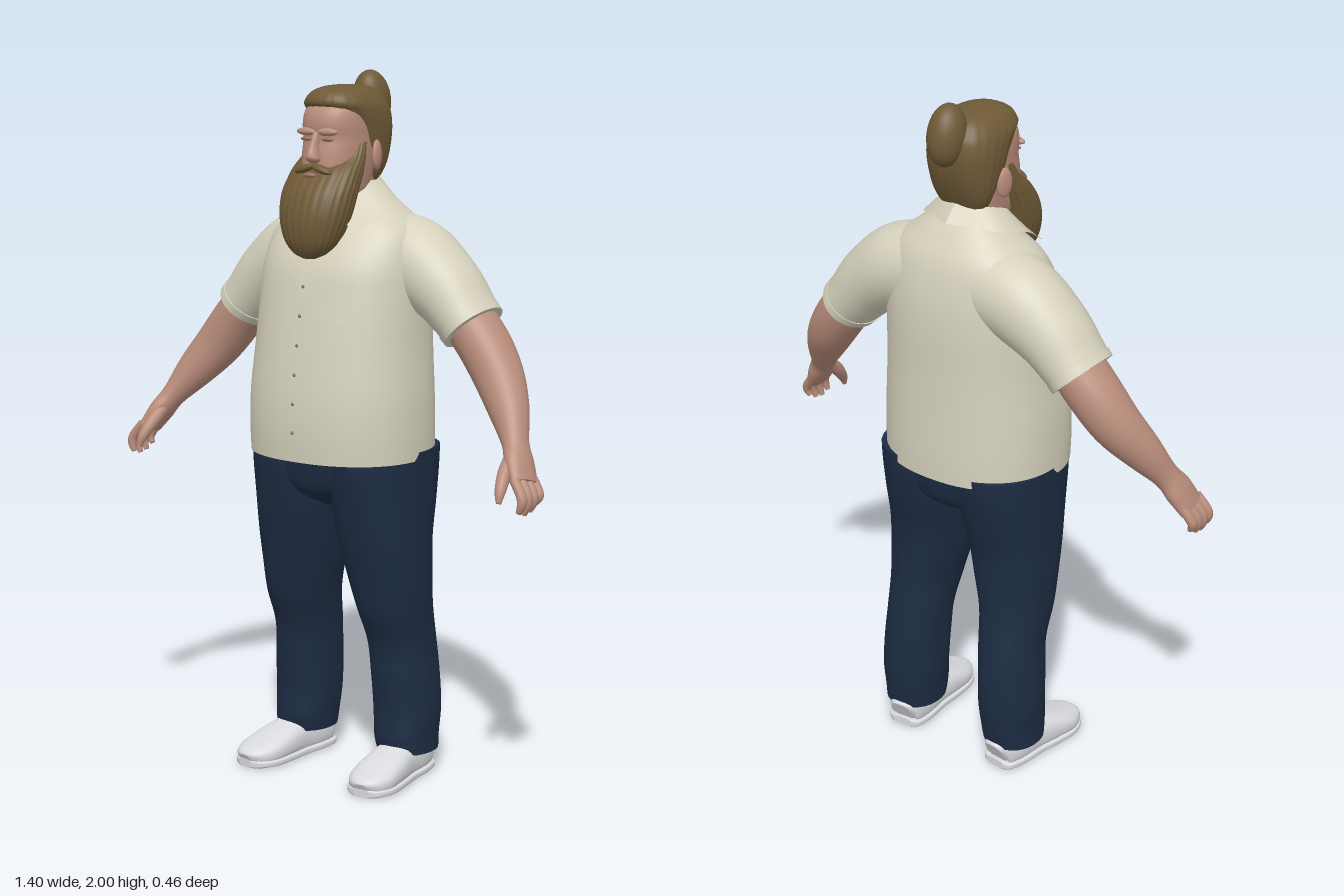
import * as THREE from 'three';

const material = (name, color, side = THREE.FrontSide) => {
  const m = new THREE.MeshStandardMaterial({ color, side });
  m.name = name;
  return m;
};

// Catmull-Rom interpolation through rows of numbers
function smooth(rows, steps = 5) {
  const out = [], last = rows.length - 1;
  for (let i = 0; i < last; i++) {
    const a = rows[Math.max(i - 1, 0)], b = rows[i], c = rows[i + 1], d = rows[Math.min(i + 2, last)];
    for (let k = 0; k < steps; k++) {
      const t = k / steps;
      out.push(b.map((v, j) => v + 0.5 * t * (c[j] - a[j] + t * (2 * a[j] - 5 * v + 4 * c[j] - d[j]
        + t * (3 * (v - c[j]) + d[j] - a[j])))));
    }
  }
  out.push(rows[last]);
  return out;
}

function build(pos, index) {
  const g = new THREE.BufferGeometry();
  g.setAttribute('position', new THREE.Float32BufferAttribute(pos, 3));
  g.setIndex(index);
  g.computeVertexNormals();
  return g;
}

// Closed skin over sections [x, y, z, radiusU, radiusV].
// With ref the rings follow the path; without it they stay horizontal (listed upward).
function loft(sections, { p = 2, n = 32, ref = null, ridge = 0, ridges = 16, floor = -1 } = {}) {
  const rows = smooth(sections), pos = [], index = [];
  const at = i => new THREE.Vector3(...rows[Math.min(Math.max(i, 0), rows.length - 1)]);
  const ring = (i, scale) => {
    const U = new THREE.Vector3(1, 0, 0), V = new THREE.Vector3(0, 0, 1);
    if (ref) {
      const T = at(i + 1).sub(at(i - 1)).normalize();
      V.copy(ref).addScaledVector(T, -ref.dot(T)).normalize();
      U.crossVectors(T, V);
    }
    for (let j = 0; j < n; j++) {
      const a = j / n * Math.PI * 2, c = Math.cos(a), s = Math.sin(a);
      const k = scale * (1 + ridge * Math.cos(a * ridges)) / (Math.abs(c) ** p + Math.abs(s) ** p) ** (1 / p);
      const q = at(i).addScaledVector(U, c * k * rows[i][3]).addScaledVector(V, s * k * rows[i][4]);
      pos.push(q.x, Math.max(q.y, floor), q.z);
    }
  };
  const end = rows.length - 1;
  ring(0, 0); ring(0, 1);
  rows.forEach((r, i) => ring(i, 1));
  ring(end, 1); ring(end, 0);
  for (let i = 0; i < rows.length + 3; i++) {
    if (i === 1 || i === rows.length + 1) continue; // crisp cap edges
    for (let j = 0; j < n; j++) {
      const a = i * n + j, b = i * n + (j + 1) % n;
      index.push(a, a + n, b, b, a + n, b + n);
    }
  }
  return build(pos, index);
}

// Thin sheet between two point rows
function strip(top, bottom) {
  const a = smooth(top), b = smooth(bottom), pos = [], index = [];
  a.forEach((q, i) => {
    pos.push(...q, ...b[i]);
    if (i) index.push(2 * i - 2, 2 * i - 1, 2 * i, 2 * i, 2 * i - 1, 2 * i + 1);
  });
  return build(pos, index);
}

// Horizontal section from half width, front z and back z
const sec = (y, rx, front, back, x = 0) => [x, y, (front + back) / 2, rx, (front - back) / 2];

export function createModel() {
  const model = new THREE.Group();
  model.name = 'beardedMan';
  const skin = material('skin', 0xb98d7b), lip = material('lips', 0xa06f63), lid = material('eyelids', 0x96705f);
  const hair = material('hair', 0x6f5a37), shirt = material('shirt', 0xd5d1bc, THREE.DoubleSide);
  const denim = material('denim', 0x1d2c43), white = material('shoe white', 0xd9dade);
  const grey = material('lace grey', 0x77787c);
  const Z = new THREE.Vector3(0, 0, 1), Y = new THREE.Vector3(0, 1, 0);
  const add = (name, geo, mat) => {
    const m = new THREE.Mesh(geo, mat);
    m.name = name;
    model.add(m);
    return m;
  };
  const ball = (name, mat, x, y, z, rx, ry, rz) => {
    const m = add(name, new THREE.SphereGeometry(1, 24, 16), mat);
    m.position.set(x, y, z);
    m.scale.set(rx, ry, rz);
    return m;
  };

  // Shirt body
  const torso = [
    sec(0.937, 0.264, 0.222, -0.225), sec(1.02, 0.265, 0.226, -0.225), sec(1.12, 0.263, 0.222, -0.222),
    sec(1.25, 0.254, 0.205, -0.22), sec(1.38, 0.25, 0.183, -0.22), sec(1.48, 0.245, 0.158, -0.212),
    sec(1.57, 0.225, 0.105, -0.19), sec(1.63, 0.155, 0.06, -0.155), sec(1.67, 0.105, 0.03, -0.125),
    sec(1.7, 0.075, 0.01, -0.1)];
  const torsoP = 2.3;
  add('shirtBody', loft(torso, { p: torsoP, n: 56 }), shirt);

  // Placket, buttons and pocket draped on the shirt front
  const torsoRows = smooth(torso, 20);
  const onChest = (x, y, lift) => {
    const r = torsoRows.find(q => q[1] >= y);
    return [x, y, r[2] + r[4] * (1 - Math.abs(x / r[3]) ** torsoP) ** (1 / torsoP) + lift];
  };
  const heights = [0.94, 1.02, 1.1, 1.18, 1.26, 1.34, 1.42, 1.5, 1.57];
  add('placket', strip(heights.map(y => onChest(-0.016, y, 0.004)), heights.map(y => onChest(0.016, y, 0.004))), shirt);
  heights.slice(1).forEach(y => ball('button', grey, ...onChest(0, y, 0.004), 0.005, 0.005, 0.003));
  const pocketX = [0.07, 0.11, 0.15];
  add('pocket', strip(pocketX.map(x => onChest(x, 1.44, 0.005)), pocketX.map(x => onChest(x, 1.33, 0.004))), shirt);

  // Trouser seat
  add('trouserSeat', loft([sec(0.79, 0.04, 0.07, -0.1), sec(0.83, 0.15, 0.135, -0.165),
    sec(0.88, 0.245, 0.158, -0.19), sec(0.96, 0.26, 0.168, -0.2)], { p: 2.3, n: 48 }), denim);

  for (const s of [1, -1]) {
    const flip = rows => rows.map(([x, ...r]) => [x * s, ...r]);
    const side = s > 0 ? 'left' : 'right';

    // Trouser leg
    add(side + 'Leg', loft(flip([
      sec(0.075, 0.084, 0.02, -0.16, 0.183), sec(0.12, 0.086, 0.03, -0.168, 0.18), sec(0.2, 0.092, 0.026, -0.175, 0.178),
      sec(0.3, 0.09, 0.036, -0.175, 0.174), sec(0.4, 0.09, 0.046, -0.165, 0.168), sec(0.5, 0.098, 0.085, -0.15, 0.163),
      sec(0.6, 0.112, 0.107, -0.148, 0.153), sec(0.7, 0.122, 0.13, -0.155, 0.144), sec(0.8, 0.13, 0.15, -0.18, 0.136),
      sec(0.9, 0.131, 0.168, -0.2, 0.134), sec(0.96, 0.131, 0.172, -0.205, 0.134)]), { p: 2.2 }), denim);

    // Shoe: upper, sole and laces, toes turned out
    const foot = [[0, 0.045, -0.15, 0.03, 0.04], [0, 0.05, -0.135, 0.05, 0.052], [0, 0.052, -0.08, 0.06, 0.058],
      [0, 0.052, -0.01, 0.06, 0.056], [0, 0.045, 0.06, 0.067, 0.046], [0, 0.034, 0.13, 0.068, 0.035],
      [0, 0.028, 0.175, 0.048, 0.028], [0, 0.022, 0.19, 0.022, 0.02]];
    const shoe = new THREE.Group();
    shoe.name = side + 'Shoe';
    const laces = [0.02, 0.042, 0.064, 0.086].map((z, i) => {
      const m = add('lace', new THREE.BoxGeometry(0.045, 0.005, 0.008), grey);
      m.position.set(0, 0.1 - i * 0.0075, z);
      m.rotation.x = 0.33;
      return m;
    });
    shoe.add(add('shoeUpper', loft(foot, { p: 2.6, ref: Y, floor: 0 }), white),
      add('shoeSole', loft(foot.map(([x, y, z, w]) => [x, 0.012, z * 1.01, w * 1.06, 0.012]), { p: 5, ref: Y, floor: 0 }), white),
      ...laces);
    shoe.position.x = 0.19 * s;
    shoe.rotation.y = 0.1 * s;
    model.add(shoe);

    // Sleeve with hem, and collar wing
    add(side + 'Sleeve', loft(flip([[0.09, 1.5, -0.075, 0.12, 0.115], [0.2, 1.478, -0.075, 0.122, 0.118],
      [0.3, 1.415, -0.072, 0.104, 0.11], [0.36, 1.355, -0.07, 0.09, 0.104], [0.396, 1.316, -0.068, 0.083, 0.102]]),
      { ref: Z, n: 40 }), shirt);
    add(side + 'SleeveHem', loft(flip([[0.382, 1.331, -0.068, 0.088, 0.106], [0.398, 1.314, -0.068, 0.086, 0.105]]),
      { ref: Z, n: 40 }), shirt);
    add(side + 'Collar', strip(
      flip([[0, 1.715, -0.105], [0.075, 1.712, -0.07], [0.09, 1.685, 0.01], [0.02, 1.61, 0.1]]),
      flip([[0, 1.67, -0.145], [0.13, 1.655, -0.075], [0.155, 1.63, 0.02], [0.138, 1.575, 0.108]])), shirt);

    // Arm running into a flat palm
    add(side + 'Arm', loft(flip([[0.34, 1.375, -0.07, 0.07, 0.08], [0.43, 1.275, -0.066, 0.073, 0.078],
      [0.495, 1.19, -0.048, 0.069, 0.07], [0.555, 1.11, -0.008, 0.056, 0.055], [0.604, 1.035, 0.035, 0.035, 0.04],
      [0.632, 0.99, 0.058, 0.031, 0.05], [0.662, 0.94, 0.078, 0.022, 0.05]]), { ref: Z }), skin);

    // Fingers and thumb
    [0, 1, 2, 3].forEach(i => {
      const z = 0.037 + i * 0.027, long = [0, 0.015, 0.02, 0.012][i];
      add('finger', loft(flip([[0.655, 0.955, z, 0.013, 0.014], [0.683, 0.918, z + 0.008, 0.014, 0.014],
        [0.688, 0.9 - long * 0.5, z + 0.012, 0.013, 0.013], [0.679, 0.882 - long, z + 0.014, 0.007, 0.008]]),
        { ref: Z, n: 12 }), skin);
    });
    add('thumb', loft(flip([[0.612, 1.01, 0.06, 0.018, 0.02], [0.62, 0.965, 0.11, 0.019, 0.02],
      [0.63, 0.925, 0.145, 0.015, 0.015], [0.634, 0.895, 0.158, 0.007, 0.007]]), { ref: Z, n: 14 }), skin);

    // Ear, brow, eyelid and moustache half
    ball(side + 'Ear', skin, 0.102 * s, 1.772, -0.022, 0.012, 0.042, 0.025).rotation.y = 0.3 * s;
    ball(side + 'Brow', skin, 0.035 * s, 1.838, 0.114, 0.034, 0.011, 0.014);
    ball(side + 'Eyelid', lid, 0.036 * s, 1.818, 0.114, 0.02, 0.006, 0.008);
    ball(side + 'Moustache', hair, 0.028 * s, 1.738, 0.132, 0.036, 0.011, 0.016).rotation.z = -0.3 * s;
  }

  // Neck and head
  add('neck', loft([sec(1.6, 0.08, 0.05, -0.1), sec(1.67, 0.073, 0.05, -0.1), sec(1.76, 0.075, 0.05, -0.1)]), skin);
  add('head', loft([sec(1.62, 0.05, 0.09, -0.04), sec(1.67, 0.075, 0.12, -0.07), sec(1.73, 0.085, 0.128, -0.09),
    sec(1.78, 0.09, 0.124, -0.11), sec(1.82, 0.091, 0.117, -0.12), sec(1.86, 0.091, 0.121, -0.12),
    sec(1.9, 0.085, 0.108, -0.12), sec(1.935, 0.06, 0.06, -0.09)], { p: 2.4, n: 40 }), skin);
  add('nose', loft([[0, 1.753, 0.124, 0.012, 0.012], [0, 1.764, 0.131, 0.021, 0.022], [0, 1.778, 0.131, 0.017, 0.024],
    [0, 1.805, 0.122, 0.011, 0.02], [0, 1.838, 0.113, 0.011, 0.013]], { n: 20 }), skin);
  ball('lips', lip, 0, 1.722, 0.147, 0.02, 0.007, 0.009);

  // Swept-back hair and bun
  add('hair', loft([sec(1.685, 0.05, -0.04, -0.085), sec(1.71, 0.075, -0.03, -0.1), sec(1.75, 0.092, -0.01, -0.12),
    sec(1.8, 0.102, 0.025, -0.138), sec(1.85, 0.106, 0.05, -0.147), sec(1.89, 0.104, 0.085, -0.146),
    sec(1.915, 0.097, 0.108, -0.138), sec(1.942, 0.077, 0.094, -0.118), sec(1.957, 0.048, 0.06, -0.09),
    sec(1.962, 0.015, 0.02, -0.04)], { p: 2.4, n: 96, ridge: 0.007, ridges: 24 }), hair);
  ball('hairBun', hair, 0, 1.915, -0.136, 0.052, 0.085, 0.057).rotation.x = 0.2;

  // Long beard
  add('beard', loft([sec(1.495, 0.02, 0.165, 0.125), sec(1.512, 0.055, 0.183, 0.1), sec(1.55, 0.085, 0.198, 0.075),
    sec(1.61, 0.105, 0.2, 0.045), sec(1.67, 0.112, 0.182, 0.025), sec(1.715, 0.11, 0.15, 0.005),
    sec(1.74, 0.107, 0.126, -0.004), sec(1.77, 0.101, 0.085, -0.008), sec(1.81, 0.095, 0.05, -0.008)],
    { p: 2.2, n: 128, ridge: 0.013, ridges: 26 }), hair);

  return model;
}
